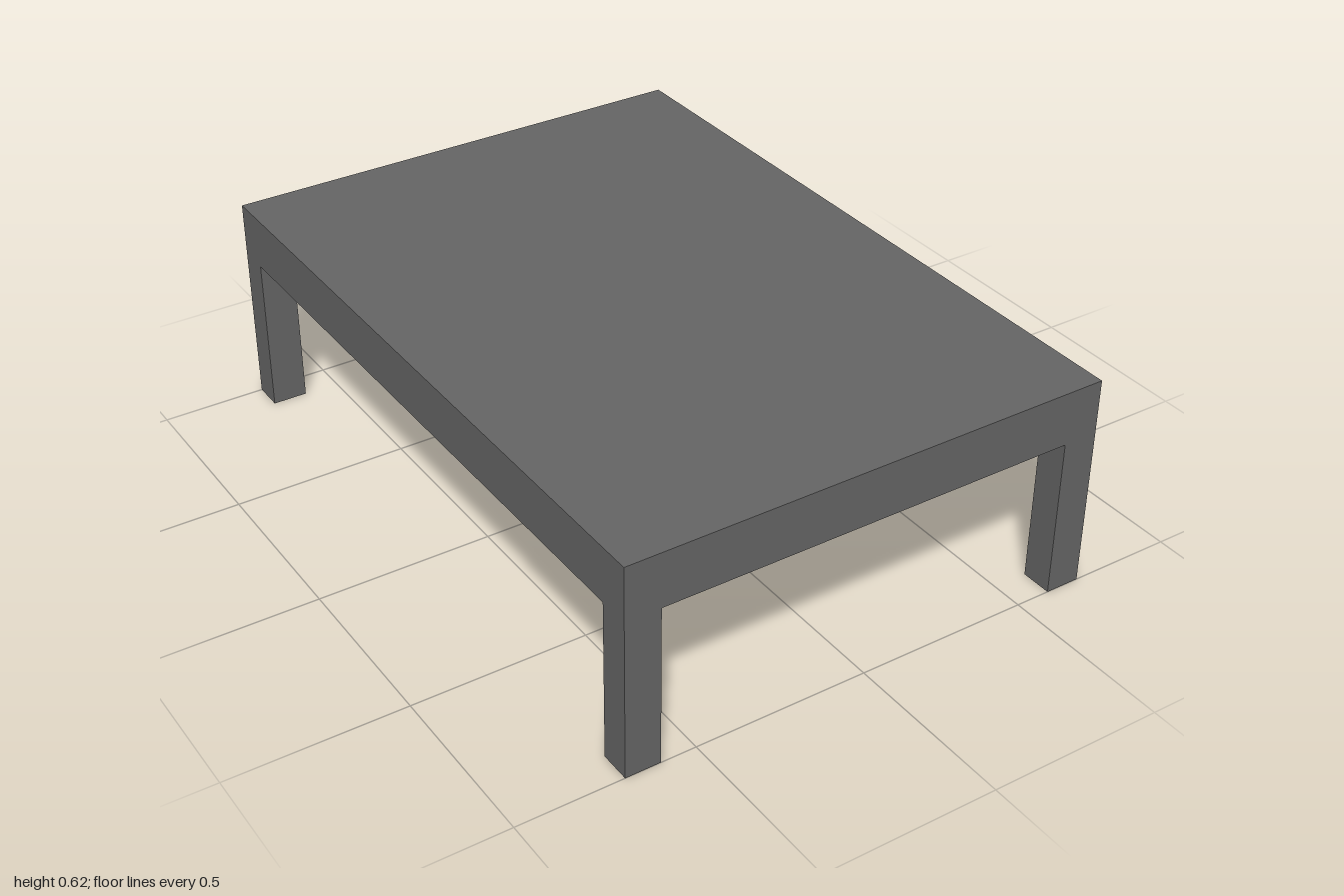
import * as THREE from 'three';

const WIDTH = 1.4, LENGTH = 2, HEIGHT = 0.615, UNDERSIDE = 0.46;
const LEG_X = 0.1, LEG_Z = 0.09;

export function createModel() {
  const model = new THREE.Group();
  model.name = 'lowTable';

  const grey = new THREE.MeshStandardMaterial({ color: 0x666666, side: THREE.DoubleSide });
  grey.name = 'darkGrey';

  // Thick slab top
  const thickness = HEIGHT - UNDERSIDE;
  const top = new THREE.Mesh(new THREE.BoxGeometry(WIDTH, thickness, LENGTH), grey);
  top.name = 'tableTop';
  top.position.y = UNDERSIDE + thickness / 2;
  model.add(top);

  // Hollow leg: four walls, open at both ends
  const legGeometry = new THREE.CylinderGeometry(Math.SQRT1_2, Math.SQRT1_2, UNDERSIDE, 4, 1, true)
    .rotateY(Math.PI / 4)
    .scale(LEG_X, 1, LEG_Z)
    .toNonIndexed();
  legGeometry.computeVertexNormals();

  // Legs flush with the corners
  for (const [sx, side] of [[1, 'Left'], [-1, 'Right']]) {
    for (const [sz, end] of [[1, 'front'], [-1, 'back']]) {
      const leg = new THREE.Mesh(legGeometry, grey);
      leg.name = `${end}${side}Leg`;
      leg.position.set(sx * (WIDTH - LEG_X) / 2, UNDERSIDE / 2, sz * (LENGTH - LEG_Z) / 2);
      model.add(leg);
    }
  }
  return model;
}
